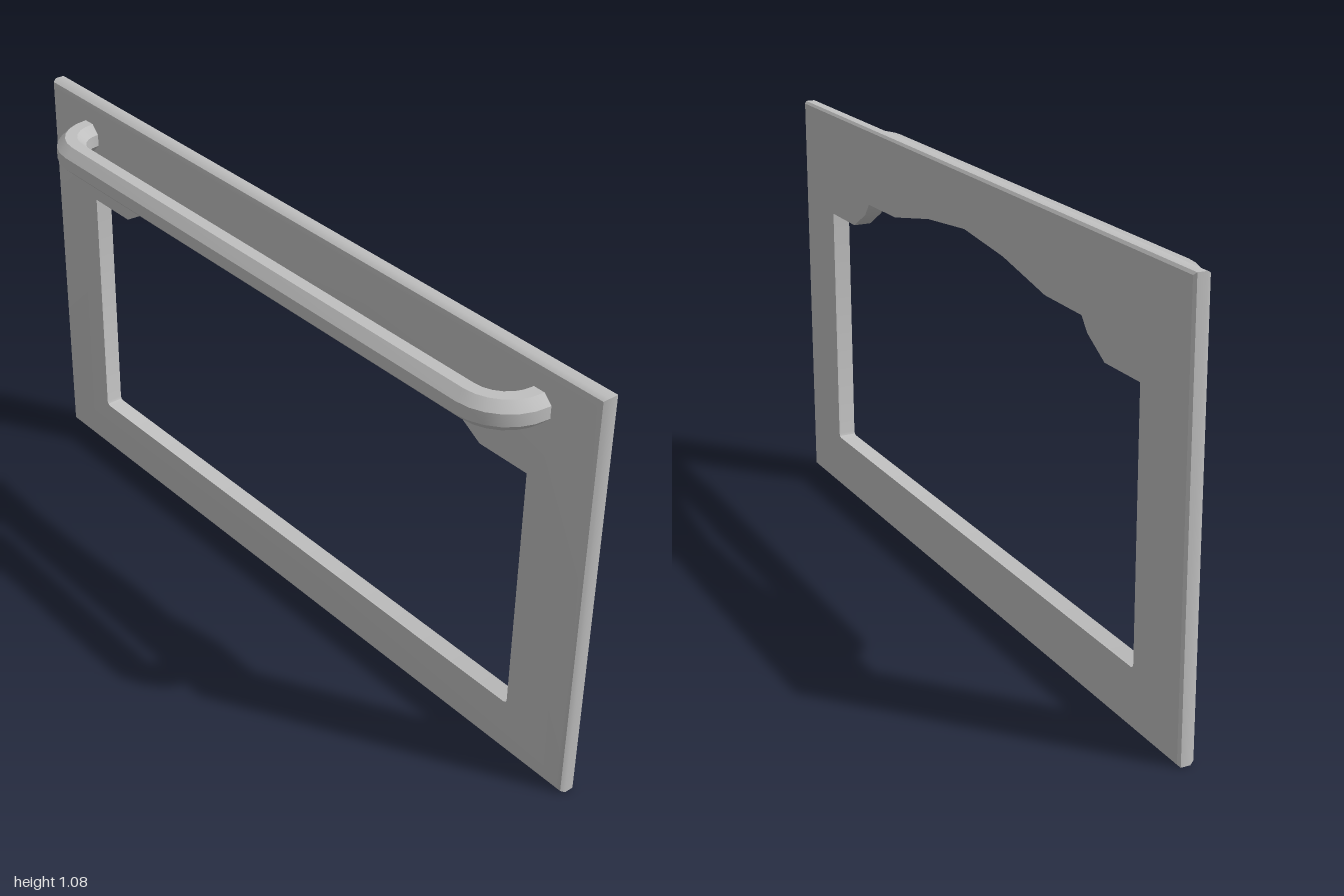
import * as THREE from 'three';
import { toCreasedNormals } from 'three/addons/utils/BufferGeometryUtils.js';

const HEIGHT = 1.08;

// Flat plate with a shaped opening; only its outer rim is rounded
function frameGeometry() {
  const shape = new THREE.Shape([
    [-1, 0], [1, 0], [1, HEIGHT], [-1, HEIGHT],
  ].map(([x, y]) => new THREE.Vector2(x, y)));

  // Right half of the opening, from bottom to the top of the arch
  const half = [
    [0.8, 0.147], [0.807, 0.15], [0.81, 0.157], [0.81, 0.8], [0.665, 0.8],
    [0.59, 0.845], [0.565, 0.878], [0.4, 0.88], [0.2, 0.92],
  ];
  const mirrored = half.map(([x, y]) => [-x, y]).reverse();
  const outline = [...half, [0, 0.94], ...mirrored];
  shape.holes.push(new THREE.Path(outline.map(([x, y]) => new THREE.Vector2(x, y))));

  // Rim profile: z position and inset of the outer edge, back to front
  const levels = [[-0.094, 0.006], [-0.088, 0], [-0.064, 0], [-0.053, 0.006], [-0.048, 0.017]];
  const steps = levels.length - 1;
  const geometry = new THREE.ExtrudeGeometry(shape, { depth: steps, steps, bevelEnabled: false });
  const p = geometry.attributes.position;
  for (let i = 0; i < p.count; i++) {
    const [z, inset] = levels[Math.round(p.getZ(i))];
    const x = p.getX(i);
    const y = p.getY(i);
    if (Math.abs(x) > 0.99) {
      p.setX(i, x - Math.sign(x) * inset);
      p.setY(i, y < 0.5 ? y + inset : y - inset);
    }
    p.setZ(i, z);
  }
  return toCreasedNormals(geometry, 0.6);
}

// Eight-sided bar whose ends bend back into the plate
function handleGeometry() {
  const sides = 8, bendSteps = 6, bend = 0.1;
  const radius = 0.038 / Math.cos(Math.PI / sides);
  const legX = 0.824, barZ = 0.056, barY = 0.983;

  // Stations along the bar: centre and outward direction
  const stations = [{ x: -legX, z: -0.07, nx: -1, nz: 0 }];
  for (const side of [-1, 1]) {
    for (let i = 0; i <= bendSteps; i++) {
      const t = (side < 0 ? i : bendSteps - i) / bendSteps * Math.PI / 2;
      const nx = side * Math.cos(t), nz = Math.sin(t);
      stations.push({ x: side * (legX - bend) + nx * bend, z: barZ - bend + nz * bend, nx, nz });
    }
  }
  stations.push({ x: legX, z: -0.07, nx: 1, nz: 0 });

  const positions = [], index = [];
  stations.forEach(({ x, z, nx, nz }, i) => {
    for (let j = 0; j < sides; j++) {
      const a = (j + 0.5) / sides * Math.PI * 2;
      const out = Math.cos(a) * radius;
      positions.push(x + nx * out, barY + Math.sin(a) * radius, z + nz * out);
      if (i === stations.length - 1) continue;
      const k = (j + 1) % sides;
      const a0 = i * sides + j, b0 = i * sides + k;
      index.push(a0, a0 + sides, b0, b0, a0 + sides, b0 + sides);
    }
  });
  const geometry = new THREE.BufferGeometry();
  geometry.setAttribute('position', new THREE.Float32BufferAttribute(positions, 3));
  geometry.setIndex(index);
  return toCreasedNormals(geometry, 0.6);
}

export function createModel() {
  const grey = new THREE.MeshStandardMaterial({ color: 0xbfbfbf });
  grey.name = 'light grey';

  const group = new THREE.Group();
  group.name = 'framedDoor';
  const frame = new THREE.Mesh(frameGeometry(), grey);
  frame.name = 'doorFrame';
  const handle = new THREE.Mesh(handleGeometry(), grey);
  handle.name = 'handle';
  group.add(frame, handle);
  return group;
}
